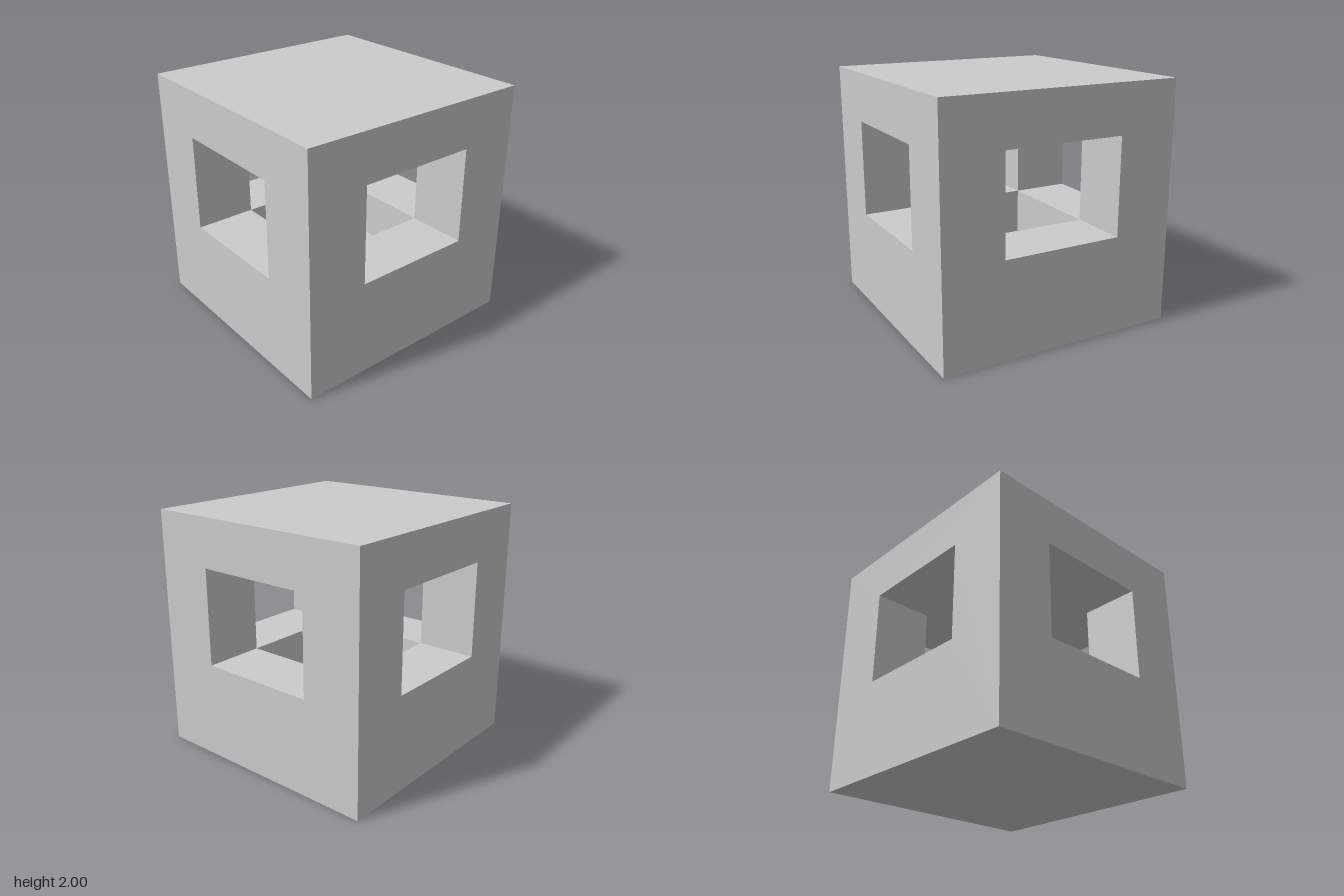
import * as THREE from 'three';
import { mergeGeometries } from 'three/addons/utils/BufferGeometryUtils.js';

const H = 2, R = 1;                       // block height and half width
const W = 0.5;                            // half width of window and chamber
const FLOOR = 0.4, SILL = 0.8, HEAD = 1.6;

// Flat rectangle facing +z, turned by rx / ry and moved to (x, y, z)
function panel(w, h, rx, ry, x, y, z) {
  return new THREE.PlaneGeometry(w, h).rotateX(rx).rotateY(ry).translate(x, y, z);
}

// One side of the block: pierced outer face, window reveals and chamber wall
function wallGeometry() {
  const face = new THREE.Shape([
    new THREE.Vector2(-R, 0), new THREE.Vector2(R, 0),
    new THREE.Vector2(R, H), new THREE.Vector2(-R, H),
  ]);
  face.holes.push(new THREE.Path([
    new THREE.Vector2(-W, SILL), new THREE.Vector2(-W, HEAD),
    new THREE.Vector2(W, HEAD), new THREE.Vector2(W, SILL),
  ]));
  const depth = R - W, mid = (R + W) / 2;
  const midY = (SILL + HEAD) / 2, q = Math.PI / 2;
  return mergeGeometries([
    new THREE.ShapeGeometry(face).translate(0, 0, R),
    panel(2 * W, depth, -q, 0, 0, SILL, mid),                           // sill
    panel(2 * W, depth, q, 0, 0, HEAD, mid),                            // lintel
    panel(depth, HEAD - SILL, 0, -q, W, midY, mid),                     // jambs
    panel(depth, HEAD - SILL, 0, q, -W, midY, mid),
    panel(2 * W, SILL - FLOOR, 0, Math.PI, 0, (FLOOR + SILL) / 2, W),   // sunken wall
  ]);
}

export function createModel() {
  const model = new THREE.Group();
  model.name = 'windowedBlock';
  const material = new THREE.MeshStandardMaterial({ color: 0xcccccc, flatShading: true });
  const add = (name, geometry) => {
    const mesh = new THREE.Mesh(geometry, material);
    mesh.name = name;
    model.add(mesh);
    return mesh;
  };

  // Four identical walls around the chamber
  const wall = wallGeometry();
  ['frontWall', 'leftWall', 'backWall', 'rightWall'].forEach((name, i) => {
    add(name, wall).rotation.y = i * Math.PI / 2;
  });

  // Roof, base and the chamber between them
  const q = Math.PI / 2;
  add('roofTop', panel(2 * R, 2 * R, -q, 0, 0, H, 0));
  add('baseUnderside', panel(2 * R, 2 * R, q, 0, 0, 0, 0));
  add('chamberFloor', panel(2 * W, 2 * W, -q, 0, 0, FLOOR, 0));
  add('chamberCeiling', panel(2 * W, 2 * W, q, 0, 0, HEAD, 0));

  return model;
}
